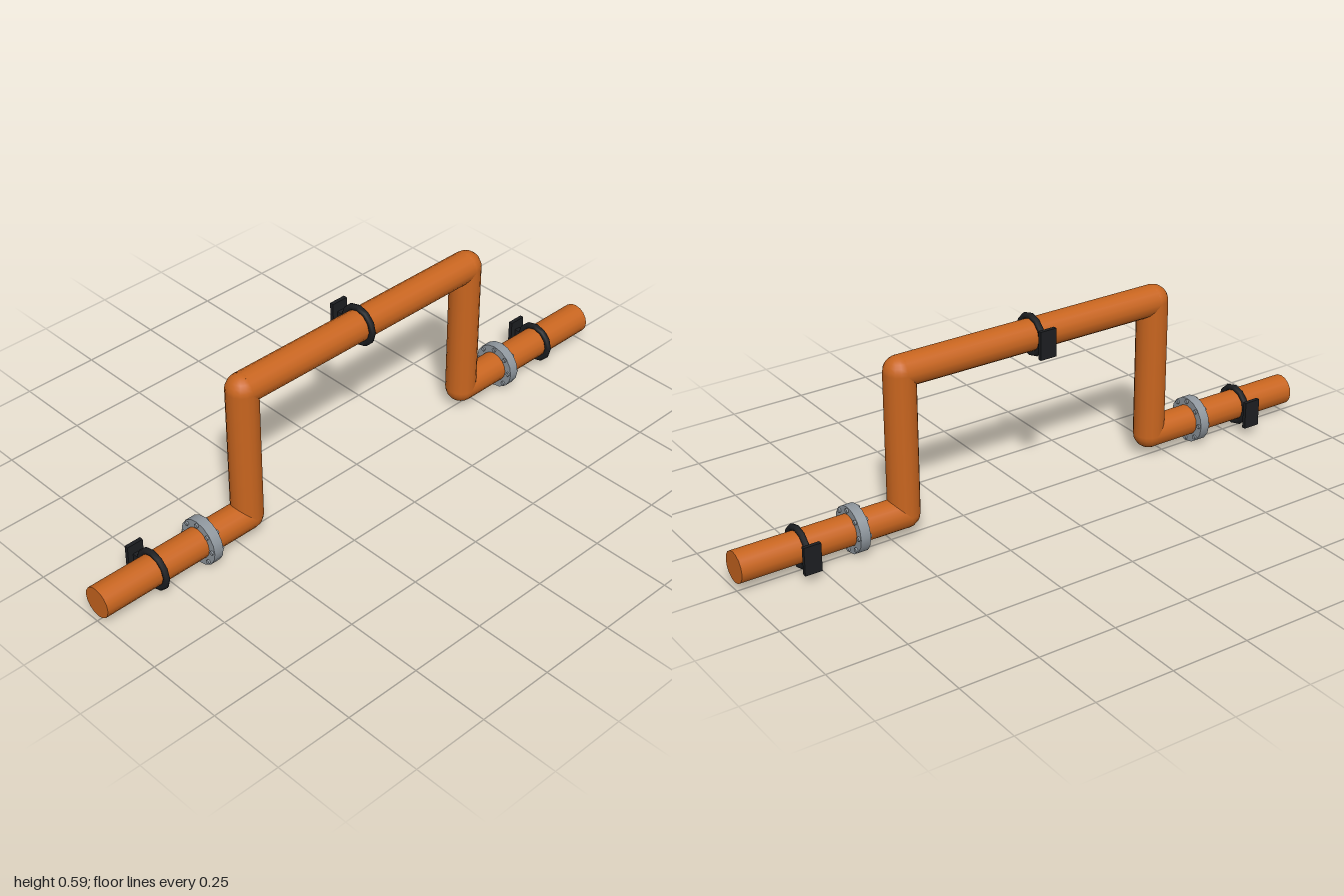
import * as THREE from 'three';

const R = 0.049, LOW = 0.0745, HIGH = 0.525, BEND = 0.45, Z = 0.0075;
const copper = new THREE.MeshStandardMaterial({ color: 0xc8651f });
const black = new THREE.MeshStandardMaterial({ color: 0x1c1e21 });
const steel = new THREE.MeshStandardMaterial({ color: 0x8f979e });

function add(parent, name, geometry, material, x = 0, y = 0, z = 0) {
  const mesh = new THREE.Mesh(geometry, material);
  mesh.name = name;
  mesh.position.set(x, y, z);
  parent.add(mesh);
  return mesh;
}

// Closed cylinder lying along x
function rod(radius, length, sides) {
  return new THREE.CylinderGeometry(radius, radius, length, sides).rotateZ(Math.PI / 2);
}

// Clamp ring with a stem and wall plate behind the pipe
function makeClamp(x, y) {
  const clamp = new THREE.Group();
  clamp.name = 'wallClamp';
  clamp.position.set(x, y, 0);
  add(clamp, 'clampRing', new THREE.TorusGeometry(0.058, 0.01, 8, 12).rotateY(Math.PI / 2), black);
  add(clamp, 'clampStem', new THREE.BoxGeometry(0.02, 0.025, 0.03), black, 0, 0, -0.07);
  add(clamp, 'wallPlate', new THREE.BoxGeometry(0.055, 0.09, 0.0125), black, 0, 0, -0.084);
  return clamp;
}

// Flange collar with a circle of through bolts
function makeFlange(x, y) {
  const flange = new THREE.Group();
  flange.name = 'flange';
  flange.position.set(x, y, 0);
  add(flange, 'flangeCollar', rod(0.0735, 0.032, 16), steel);
  for (let i = 0; i < 8; i++) {
    const a = (i / 8) * Math.PI * 2;
    add(flange, 'flangeBolt', rod(0.007, 0.044, 6), steel, 0, Math.cos(a) * 0.063, Math.sin(a) * 0.063);
  }
  return flange;
}

export function createModel() {
  const model = new THREE.Group();
  model.name = 'pipeLoop';
  const run = new THREE.Group();
  run.name = 'pipeRun';
  run.position.z = Z;
  model.add(run);

  // Raised middle run
  add(run, 'topPipe', rod(R, 2 * BEND, 16), copper, 0, HIGH);
  run.add(makeClamp(0, HIGH));

  // Mirrored risers, elbows and end runs
  for (const s of [-1, 1]) {
    add(run, 'riser', new THREE.CylinderGeometry(R, R, HIGH - LOW, 16), copper, s * BEND, (HIGH + LOW) / 2);
    for (const y of [LOW, HIGH]) {
      add(run, 'elbow', new THREE.SphereGeometry(R, 16, 12), copper, s * BEND, y);
    }
    add(run, 'endPipe', rod(R, 1 - BEND, 16), copper, s * (1 + BEND) / 2, LOW);
    run.add(makeFlange(s * 0.62, LOW), makeClamp(s * 0.8, LOW));
  }
  return model;
}
